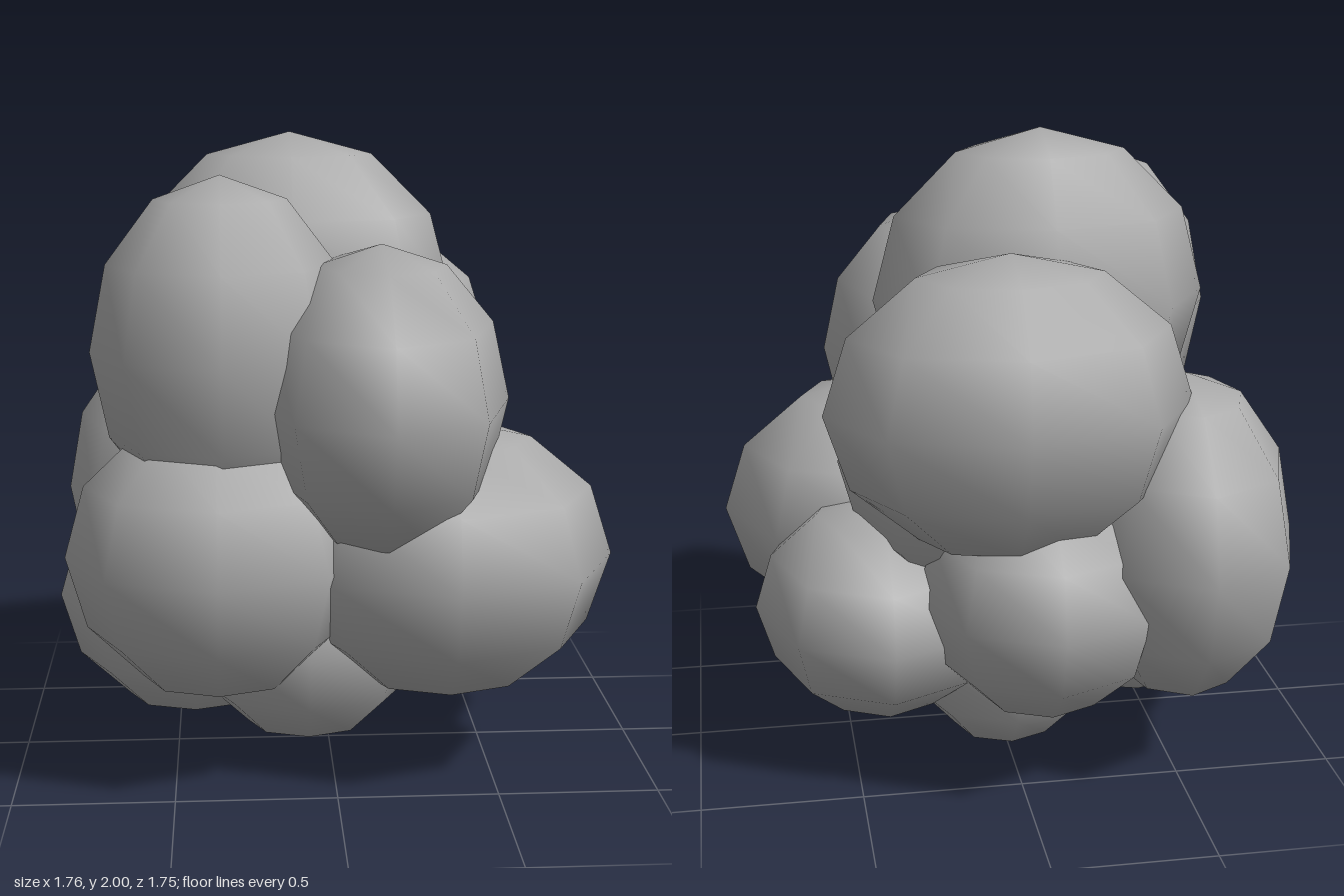
import * as THREE from 'three';

// Each lobe: name, centre [x, y, z], radii [x, y, z]
const LOBES = [
  ['crownLobe', [-0.12, 1.48, -0.08], [0.52, 0.52, 0.33]],
  ['upperFrontRightLobe', [-0.34, 1.36, 0.26], [0.40, 0.53, 0.36]],
  ['upperFrontLeftLobe', [0.14, 1.22, 0.33], [0.39, 0.47, 0.54]],
  ['upperBackLobe', [0.04, 1.25, -0.50], [0.55, 0.46, 0.375]],
  ['coreLobe', [0.10, 1.00, -0.19], [0.43, 0.43, 0.43]],
  ['middleFrontRightLobe', [-0.36, 0.73, 0.31], [0.47, 0.45, 0.39]],
  ['middleFrontLeftLobe', [0.35, 0.70, 0.25], [0.53, 0.44, 0.45]],
  ['middleBackRightLobe', [-0.51, 0.78, -0.39], [0.36, 0.52, 0.465]],
  ['middleBackLobe', [-0.07, 0.63, -0.44], [0.39, 0.38, 0.40]],
  ['lowerLeftLobe', [0.40, 0.51, -0.15], [0.40, 0.35, 0.46]],
  ['lowerRightLobe', [-0.44, 0.50, -0.04], [0.44, 0.40, 0.34]],
  ['lowerFrontLobe', [-0.08, 0.43, 0.16], [0.38, 0.35, 0.31]],
  ['bottomLobe', [0.00, 0.355, -0.15], [0.33, 0.355, 0.32]],
];

export function createModel() {
  const model = new THREE.Group();
  model.name = 'lobedCluster';
  const grey = new THREE.MeshStandardMaterial({ color: 0xaaaaaa });
  grey.name = 'grey';

  // One coarse, smooth-shaded ball, stretched into every lobe
  const ball = new THREE.SphereGeometry(1, 8, 6);
  for (const [name, centre, radii] of LOBES) {
    const lobe = new THREE.Mesh(ball, grey);
    lobe.name = name;
    lobe.position.set(...centre);
    lobe.scale.set(...radii);
    model.add(lobe);
  }
  return model;
}
